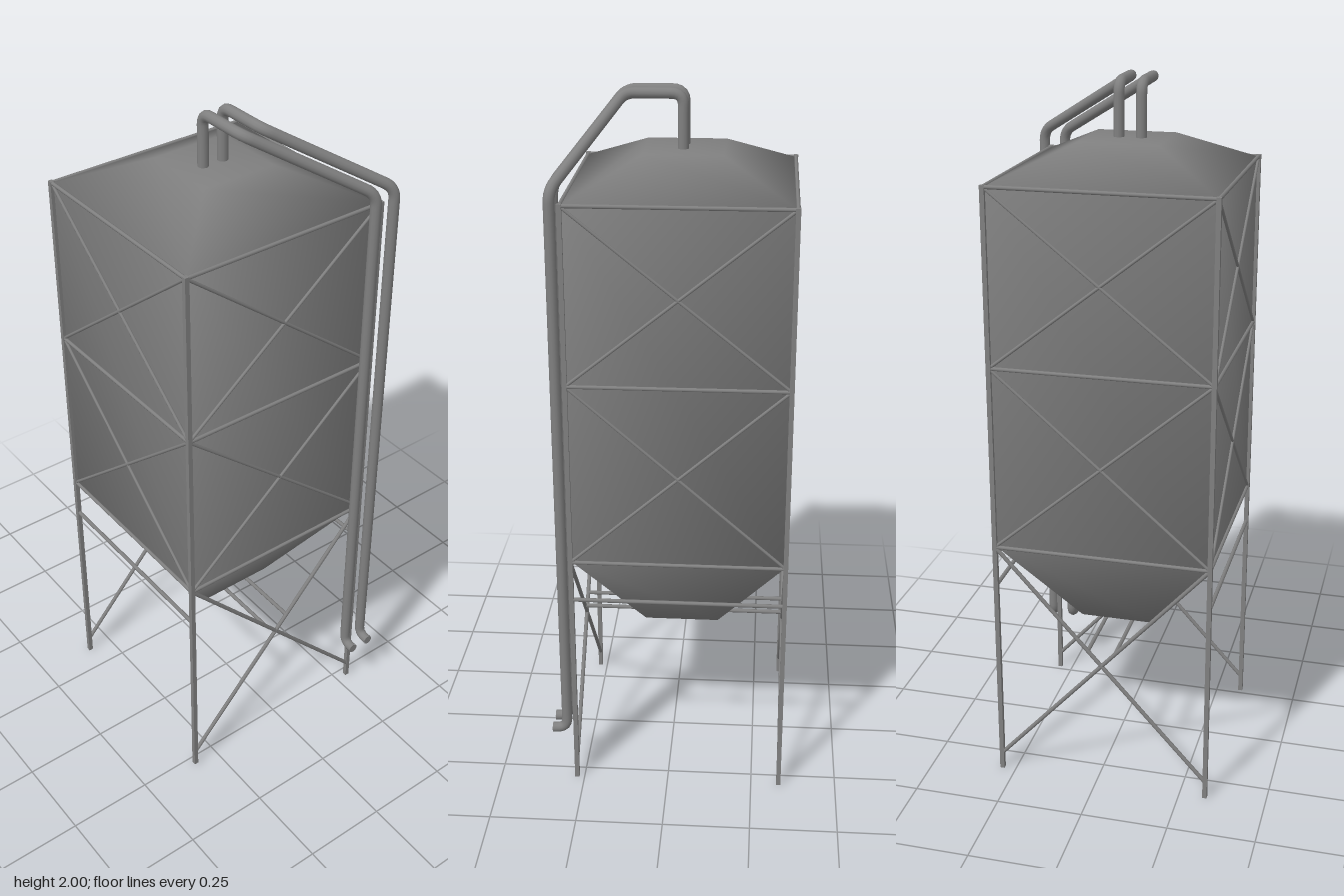
import * as THREE from 'three';

const material = new THREE.MeshStandardMaterial({ color: 0x808080 });
const CX = -0.017, CZ = -0.03; // centre of the tank
const HX = 0.308, HZ = 0.302; // centre to leg axes
const V = (x, y, z) => new THREE.Vector3(x, y, z);

function addMesh(parent, geometry, name) {
  const mesh = new THREE.Mesh(geometry, material);
  mesh.name = name;
  parent.add(mesh);
  return mesh;
}

// Round bar between two points
function addBar(parent, a, b, radius, name) {
  const dir = b.clone().sub(a);
  const bar = addMesh(parent, new THREE.CylinderGeometry(radius, radius, dir.length(), 8), name);
  bar.position.copy(a).add(b).multiplyScalar(0.5);
  bar.quaternion.setFromUnitVectors(V(0, 1, 0), dir.normalize());
}

// Pipe through corner points with rounded bends and closed ends
function addPipe(parent, corners, radius, bend, name) {
  const pipe = new THREE.Group();
  pipe.name = name;
  parent.add(pipe);
  const path = new THREE.CurvePath();
  const last = corners.length - 1;
  let from = corners[0];
  for (let i = 1; i < last; i++) {
    const c = corners[i];
    const before = c.clone().add(corners[i - 1].clone().sub(c).setLength(bend));
    const after = c.clone().add(corners[i + 1].clone().sub(c).setLength(bend));
    path.add(new THREE.LineCurve3(from, before));
    path.add(new THREE.QuadraticBezierCurve3(before, c, after));
    from = after;
  }
  path.add(new THREE.LineCurve3(from, corners[last]));
  addMesh(pipe, new THREE.TubeGeometry(path, 240, radius, 12), 'pipeTube');
  [[0, 1], [last, last - 1]].forEach(([end, inner]) => {
    const cap = addMesh(pipe, new THREE.CircleGeometry(radius, 12), 'pipeCap');
    cap.position.copy(corners[end]);
    cap.quaternion.setFromUnitVectors(V(0, 0, 1), corners[end].clone().sub(corners[inner]).normalize());
  });
}

export function createModel() {
  const model = new THREE.Group();
  model.name = 'feedSilo';

  const silo = new THREE.Group();
  silo.name = 'silo';
  silo.position.set(CX, 0, CZ);
  model.add(silo);

  // Four-sided tank with hopper and pyramid roof, smoothly shaded
  const profile = [[0, 0.44], [0.11, 0.44], [0.305, 0.73], [0.305, 1.75], [0.11, 1.84], [0, 1.84]]
    .map(([half, y]) => new THREE.Vector2(half * Math.SQRT2, y));
  const tank = new THREE.LatheGeometry(profile, 4, Math.PI / 4);
  tank.scale(1, 1, HZ / HX);
  addMesh(silo, tank, 'tank');

  // Corner legs
  for (const sx of [-1, 1]) for (const sz of [-1, 1]) {
    const leg = addMesh(silo, new THREE.BoxGeometry(0.013, 1.755, 0.013), 'leg');
    leg.position.set(sx * HX, 0.8775, sz * HZ);
  }

  // Rails and cross braces on each of the four sides
  const levels = [0.73, 1.26, 1.75];
  for (let side = 0; side < 4; side++) {
    const [w, d] = side % 2 === 0 ? [HX, HZ] : [HZ, HX];
    const frame = new THREE.Group();
    frame.name = 'sideFrame';
    frame.rotation.y = side * Math.PI / 2;
    silo.add(frame);
    levels.forEach((y, i) => {
      addBar(frame, V(-w, y, d), V(w, y, d), 0.0055, 'rail');
      if (i === 0) return;
      for (const s of [-1, 1])
        addBar(frame, V(-s * w, levels[i - 1], d), V(s * w, y, d), 0.0045, 'brace');
    });
    // Leg braces at front and back, tie bars at the sides
    if (side % 2 === 0) {
      for (const s of [-1, 1])
        addBar(frame, V(-s * w, 0.05, d), V(s * w, 0.73, d), 0.006, 'legBrace');
    } else {
      addBar(frame, V(-w, 0.61, d), V(w, 0.61, d), 0.006, 'tieBar');
    }
  }

  // Bars under the hopper, resting on the leg braces
  for (const s of [-1, 1])
    addBar(silo, V(s * 0.04, 0.434, -HZ), V(s * 0.04, 0.434, HZ), 0.006, 'hopperBar');

  // Pair of filling pipes from the roof to the front corner
  for (const dx of [0, 0.062]) {
    const top = -0.054 + dx, low = 0.255 + dx;
    addPipe(model, [
      V(top, 1.8, -0.026), V(top, 1.985, -0.026), V(top, 1.985, 0.13),
      V(low, 1.795, 0.293), V(low, 0.192, 0.293), V(low, 0.192, 0.335),
    ], 0.015, 0.032, 'fillPipe');
  }
  return model;
}
